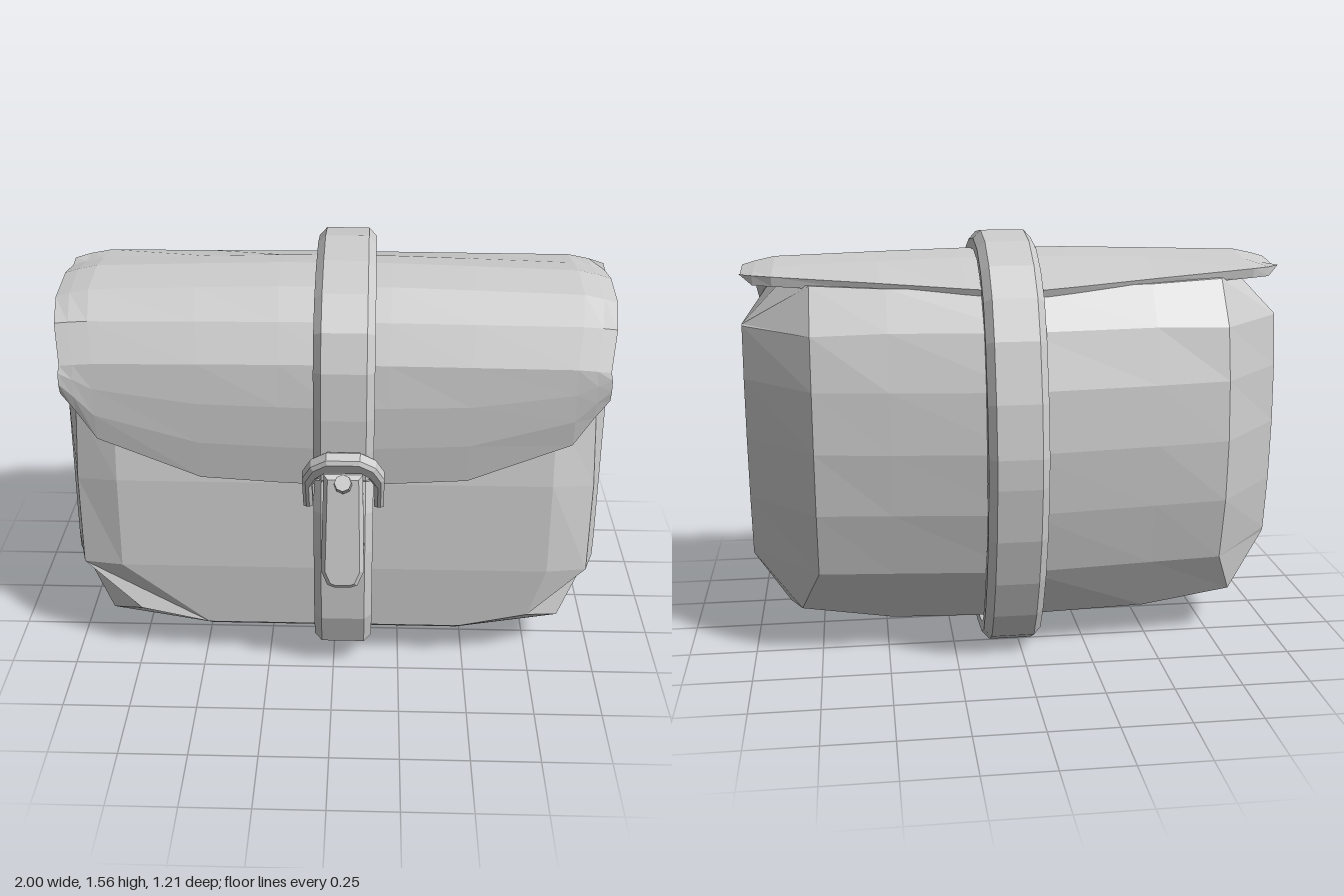
import * as THREE from 'three';

const V = (x, y, z) => new THREE.Vector3(x, y, z);
const STRAP_X = 0.037;

// Skin a list of point rings running counter-clockwise seen from +x
function loft(rings, capped) {
  const out = [];
  const tri = (...p) => p.forEach((v) => out.push(v.x, v.y, v.z));
  const n = rings[0].length;
  for (let i = 0; i < rings.length - 1; i++) {
    for (let j = 0; j < n; j++) {
      const k = (j + 1) % n;
      tri(rings[i][j], rings[i][k], rings[i + 1][k]);
      tri(rings[i][j], rings[i + 1][k], rings[i + 1][j]);
    }
  }
  const cap = (ring, flip) => {
    const c = ring.reduce((s, p) => s.add(p), V(0, 0, 0)).divideScalar(n);
    ring.forEach((p, j) => {
      const q = ring[(j + 1) % n];
      if (flip) tri(c, q, p); else tri(c, p, q);
    });
  };
  if (capped) {
    cap(rings[0], true);
    cap(rings[rings.length - 1], false);
  }
  const g = new THREE.BufferGeometry();
  g.setAttribute('position', new THREE.Float32BufferAttribute(out, 3));
  g.computeVertexNormals();
  return g;
}

// Outward direction at point i of a [z, y] path
function outward(path, i) {
  const a = path[Math.max(i - 1, 0)], b = path[Math.min(i + 1, path.length - 1)];
  return V(0, b[1] - a[1], b[0] - a[0]).normalize().cross(V(1, 0, 0));
}

// Pouch: rings run from front bottom, under, up the back and over the top
function bodyGeometry() {
  const mid = [[0.43, 0.16], [0.33, 0.08], [0.11, 0.075], [-0.11, 0.075], [-0.33, 0.14], [-0.46, 0.36],
    [-0.52, 0.6], [-0.54, 0.83], [-0.52, 1.05], [-0.46, 1.25], [-0.34, 1.39], [-0.12, 1.43],
    [0.13, 1.41], [0.29, 1.34], [0.335, 1.05], [0.395, 0.77], [0.43, 0.42]];
  const rim = [[0.74, 0.43, 0.22], [0.87, 0.33, 0.15], [0.87, 0.11, 0.15], [0.87, -0.11, 0.15], [0.82, -0.29, 0.19],
    [0.75, -0.39, 0.36], [0.75, -0.44, 0.6], [0.75, -0.45, 0.83], [0.75, -0.43, 1.05], [0.75, -0.39, 1.24],
    [0.75, -0.27, 1.4], [0.85, -0.12, 1.4], [0.88, 0.1, 1.4], [0.91, 0.25, 1.36], [0.95, 0.28, 1.02],
    [0.96, 0.33, 0.74], [0.955, 0.38, 0.4]];
  const end = [[0.24, 0.375], [0.21, 0.37], [0.11, 0.365], [-0.11, 0.36], [-0.13, 0.36], [-0.14, 0.38],
    [-0.17, 0.6], [-0.18, 0.83], [-0.17, 1.05], [-0.14, 1.24], [-0.13, 1.245], [-0.11, 1.245],
    [0.08, 1.235], [0.16, 1.22], [0.18, 1], [0.21, 0.73], [0.24, 0.45]];
  const half = [
    mid.map(([z, y], j) => V(j > 12 ? 0.8 : 0.48, y, z < 0 ? z * 0.9 : z)),
    rim.map(([x, z, y]) => V(x, y, z)),
    end.map(([z, y]) => V(1, y, z)),
  ];
  const mirrored = half.map((r) => r.map((p) => V(-p.x, p.y, p.z))).reverse();
  return loft([...mirrored, mid.map(([z, y]) => V(0, y, z)), ...half], true);
}

// Flap: thick sheet draped over the top, tapering to its side edges, with a curved lower edge
function flapGeometry() {
  // u, edge drop at the top, back edge z, lower edge y, thickness
  const side = [[1, 0.05, -0.15, 1.13, 0], [0.95, 0.035, -0.2, 1.06, 0.035], [0.88, 0.02, -0.24, 0.95, 0.035],
    [0.5, 0.008, -0.3, 0.8, 0.035], [0.2, 0, -0.35, 0.785, 0.035]];
  const cols = [...side, [0, 0, -0.38, 0.78, 0.035], ...side.map(([u, ...r]) => [-u, ...r]).reverse()].reverse();
  const top = [[-0.1, 1.47, 1], [0.03, 1.49, 1], [0.2, 1.465, 1], [0.32, 1.38, 0.985], [0.395, 1.25, 0.965]];
  const front = [[0.33, 0.425], [0.67, 0.43], [1, 0.42]];
  return loft(cols.map(([u, drop, back, low, thick]) => {
    const path = [
      [back, 1.43 - Math.max(0, -back - 0.24) * 0.35, 1],
      ...top.map(([z, y, w]) => [z, y - drop * (y > 1.4 ? 1 : 0.3), w]),
      ...front.map(([t, z]) => [z - 0.02 * Math.abs(u), 1.25 + (low - 1.25) * t, 0.97]),
    ];
    const outer = path.map(([z, y, w]) => V(u * w, y, z));
    const inner = outer.map((p, i) => p.clone().addScaledVector(outward(path, i), -thick));
    return [...outer, ...inner.reverse()];
  }), false);
}

// Strap: chamfered band swept around the pouch
function strapGeometry() {
  const path = [[0.46, 0.82], [0.505, 0.71], [0.528, 0.55], [0.53, 0.26], [0.49, 0.125], [0.42, 0.07], [0.3, 0.02],
    [0.18, 0.005], [-0.12, 0.005], [-0.3, 0.03], [-0.39, 0.08], [-0.46, 0.19], [-0.525, 0.34], [-0.575, 0.52],
    [-0.6, 0.72], [-0.6, 0.83], [-0.57, 1.02], [-0.51, 1.23], [-0.44, 1.37], [-0.34, 1.47], [-0.21, 1.54],
    [-0.05, 1.565], [0.14, 1.54], [0.3, 1.48], [0.41, 1.38], [0.465, 1.25], [0.49, 1.08], [0.495, 0.95], [0.49, 0.84]];
  const section = [[0.108, -0.07], [0.108, -0.03], [0.08, 0], [-0.08, 0], [-0.108, -0.03], [-0.108, -0.07]];
  return loft(path.map(([z, y], i) => section.map(([x, d]) =>
    V(STRAP_X + x, y, z).addScaledVector(outward(path, i), d))), true);
}

function plate(points, depth, bevel) {
  const shape = new THREE.Shape(points.map(([x, y]) => new THREE.Vector2(x, y)));
  return new THREE.ExtrudeGeometry(shape, {
    depth, bevelEnabled: true, bevelThickness: bevel, bevelSize: bevel, bevelOffset: -bevel, bevelSegments: 1,
  });
}
const mirrorX = (pts) => [...pts, ...pts.map(([x, y]) => [-x, y]).reverse()];

export function createModel() {
  const group = new THREE.Group();
  const leather = new THREE.MeshStandardMaterial({ color: 0xcccccc, flatShading: true });
  leather.name = 'paleGrey';
  leather.side = THREE.DoubleSide;

  const add = (name, geometry, x = 0, y = 0, z = 0, tilt = 0) => {
    const mesh = new THREE.Mesh(geometry, leather);
    mesh.name = name;
    mesh.position.set(x, y, z);
    mesh.rotation.x = tilt;
    group.add(mesh);
  };

  add('pouch', bodyGeometry());
  add('flap', flapGeometry());
  add('strap', strapGeometry());

  // Arched buckle leaning out at the top
  const arch = [[-0.147, 0], [-0.147, 0.17], [-0.115, 0.24], [-0.06, 0.28]];
  const inner = [[0.112, 0], [0.112, 0.13], [0.09, 0.18], [0.06, 0.21]];
  add('buckle', plate([...mirrorX(arch), ...mirrorX(inner)], 0.035, 0.012), STRAP_X, 0.715, 0.405, 0.42);

  // Hanging strap end, kicked out at the tip
  add('strapTongue', plate(mirrorX([[-0.07, 0], [-0.078, -0.37], [-0.055, -0.425], [-0.03, -0.435]]), 0.035, 0.015),
    STRAP_X, 0.87, 0.475, -0.2);

  // Buckle pin
  add('buckleStud', new THREE.CylinderGeometry(0.03, 0.036, 0.11, 8), STRAP_X, 0.85, 0.53, 0.95);
  return group;
}
